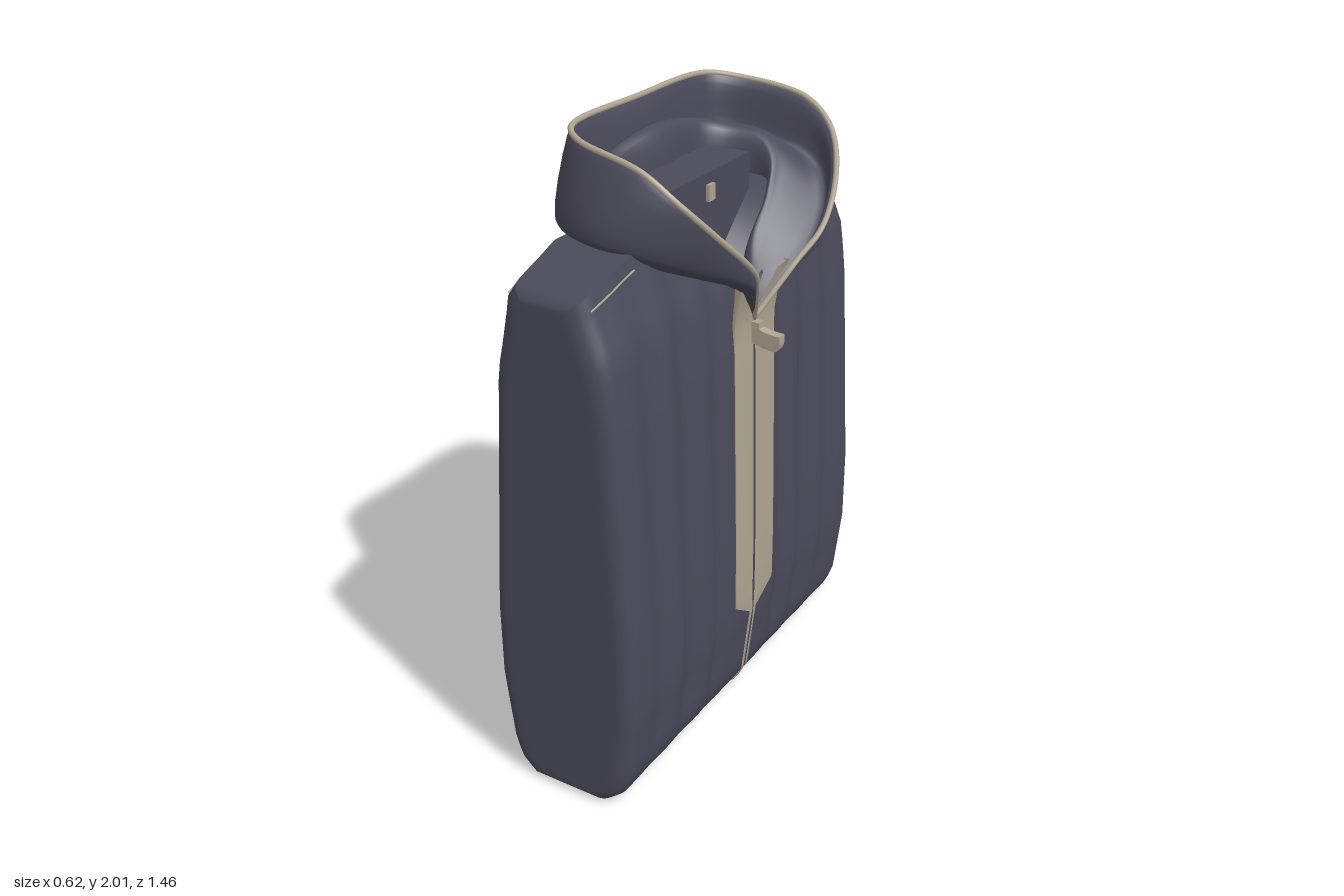
import * as THREE from 'three';

const navy = new THREE.MeshStandardMaterial({ color: 0x4b4a5a, side: THREE.DoubleSide });
navy.name = 'navyFabric';
const beige = new THREE.MeshStandardMaterial({ color: 0xaea491, side: THREE.DoubleSide });
beige.name = 'beigeTrim';

const clamp = (v) => Math.min(1, Math.max(0, v));

// linear lookup in a list of [key, value] pairs
function lookup(list, k) {
  for (let i = 1; i < list.length; i++) {
    const [k0, v0] = list[i - 1], [k1, v1] = list[i];
    if (k <= k1) return v0 + (v1 - v0) * clamp((k - k0) / (k1 - k0));
  }
  return list[list.length - 1][1];
}

// evenly spaced values from a to b
const range = (a, b, n) => Array.from({ length: n + 1 }, (_, i) => a + (b - a) * i / n);

// surface through rows of points
function surface(rows, closed = false) {
  const idx = [], n = rows[0].length;
  for (let i = 0; i < rows.length - 1; i++) {
    for (let j = 0; j < (closed ? n : n - 1); j++) {
      const a = i * n + j, b = i * n + (j + 1) % n;
      idx.push(a, b, a + n, b, b + n, a + n);
    }
  }
  const g = new THREE.BufferGeometry();
  g.setAttribute('position', new THREE.Float32BufferAttribute(rows.flat(2), 3));
  g.setIndex(idx);
  g.computeVertexNormals();
  return g;
}

// side profile of the folded garment: [height, x]
const FRONT = [[0, 0.1], [0.04, 0.15], [0.1, 0.18], [0.35, 0.21], [0.6, 0.21], [1.3, 0.196], [1.5, 0.18], [1.72, 0.11]];
const BACK = [[0, -0.18], [0.04, -0.225], [0.1, -0.25], [0.35, -0.28], [0.6, -0.28], [1.4, -0.24], [1.68, -0.195], [1.72, -0.165]];

function bodyPoint(y, z, front, inset = 0) {
  const a = Math.abs(z);
  let x = lookup(front ? FRONT : BACK, y);
  const narrow = 0.035 * (a / 0.73) ** 2 * clamp((y - 0.6) / 0.9);
  const drape = clamp((y - 0.02) / 0.2) * clamp((1.75 - y) / 0.3) * clamp((0.68 - a) / 0.2);
  if (front) {
    const fold = clamp((a - 0.14) / 0.08) * drape;
    x -= narrow + inset + 0.024 * fold * (0.5 + 0.5 * Math.sin(z * 34 + 2));
  } else {
    x += narrow * 0.6 + inset + 0.026 * drape * (0.5 + 0.5 * Math.cos(z * 42));
  }
  // shoulder slope, and a dipped neckline at the front
  let h = y - Math.max(0, a - 0.5) * 0.3 * clamp((y - 1.4) / 0.25);
  if (front) h = Math.min(h, 1.4 + a * 1.2);
  return [x, Math.max(0, h + inset * (0.6 - y * 0.7)), z];
}

function bodyGeometry() {
  const heights = range(0, Math.PI, 30).map((t) => 0.86 * (1 - Math.cos(t)));
  const down = heights.slice().reverse();
  // rounded ends: the section shrinks along a quarter circle
  const end = range(0, Math.PI / 2, 5).map((t) => [0.68 + 0.05 * Math.cos(t), 0.05 * (1 - Math.sin(t))]);
  const stations = [
    ...end.map(([z, inset]) => [-z, inset]),
    ...range(-0.67, 0.67, 110).map((z) => [z, 0]),
    ...end.reverse(),
  ];
  const rows = stations.map(([z, inset]) => [
    ...heights.map((y) => bodyPoint(y, z, true, inset)),
    ...down.map((y) => bodyPoint(y, z, false, inset)),
  ]);
  // flat end panels
  const centre = (row) => row.map((p) => [-0.04, 0.85, p[2]]);
  const shrink = (row) => row.map((p) => [p[0] * 0.9 - 0.004, p[1] * 0.97 + 0.025, p[2]]);
  const first = rows[0], last = rows[rows.length - 1];
  return surface([centre(first), shrink(first), ...rows, shrink(last), centre(last)], true);
}

// half rings of the hood, from the centre back round to the front V
const WIDEST = [[-0.305, 1.74, 0], [-0.295, 1.74, 0.26], [-0.21, 1.74, 0.44], [-0.02, 1.75, 0.545], [0.11, 1.72, 0.51], [0.22, 1.65, 0.38], [0.295, 1.57, 0.22], [0.265, 1.515, 0.13], [0.2, 1.38, 0]];
const RIM = [[-0.21, 2, 0], [-0.2, 1.995, 0.36], [-0.13, 1.98, 0.43], [0.1, 1.935, 0.47], [0.2, 1.86, 0.45], [0.27, 1.75, 0.36], [0.3, 1.62, 0.22], [0.265, 1.53, 0.12], [0.2, 1.385, 0]];
const CREST = [[-0.17, 1.92, 0], [-0.165, 1.88, 0.26], [-0.1, 1.86, 0.33], [0.02, 1.84, 0.36], [0.09, 1.79, 0.33], [0.13, 1.7, 0.25], [0.15, 1.6, 0.15], [0.17, 1.48, 0.06], [0.18, 1.38, 0]];

// ring moved inward by d and lowered towards the V; the V itself stays put
function inset(ring, d, k) {
  return ring.map(([x, y, z], i) => {
    const s = 1 - d * Math.min(1, (ring.length - 1 - i) / 2) / Math.hypot(x, z);
    return [x * s, 1.38 + (y - 1.38) * k, z * s];
  });
}

function ringCurve(half) {
  const point = (sign) => ([x, y, z]) => new THREE.Vector3(x, y, sign * z - 0.02 * clamp(z / 0.2));
  const plus = half.slice().reverse().map(point(1));
  return new THREE.CatmullRomCurve3([...plus, ...half.slice(1).map(point(-1))], false, 'centripetal');
}

function hoodGeometry() {
  // under the edge, up the outside, over the rim, into the fold and down the neck
  const curves = [
    inset(WIDEST, 0.1, 0.78), inset(WIDEST, 0.05, 0.86), WIDEST, RIM,
    inset(RIM, 0.02, 0.95), inset(RIM, 0.04, 0.72),
    CREST, inset(CREST, 0.045, 0.97), inset(CREST, 0.075, 0.62),
  ].map(ringCurve);
  return surface(range(0, 1, 128).map((t) => {
    const across = new THREE.CatmullRomCurve3(curves.map((c) => c.getPoint(t)), false, 'centripetal');
    return across.getPoints(40).map((p) => p.toArray());
  }));
}

// half of the placket, flaring away from the body under the hood
function placketGeometry(sign) {
  const width = sign > 0 ? 0.11 : 0.13;
  return surface([0.34, 0.4, ...range(0.5, 1.53, 20)].map((y) => {
    const flare = clamp((y - 1.32) / 0.21) ** 2;
    const x = lookup(FRONT, y) + 0.005 + 0.06 * flare;
    const edge = sign * (0.02 + (width - 0.02) * clamp((y - 0.34) / 0.06) + 0.02 * flare);
    const inner = sign * Math.max(0.002, (y - 1.4) * 0.6);
    return [[x, y, inner], [x, y, edge], [x - 0.01 - 0.02 * flare, y, edge]];
  }));
}

export function createModel() {
  const model = new THREE.Group();
  const add = (name, geometry, material, x = 0, y = 0, z = 0) => {
    const mesh = new THREE.Mesh(geometry, material);
    mesh.name = name;
    mesh.position.set(x, y, z);
    model.add(mesh);
  };
  const tube = (points, r) => new THREE.TubeGeometry(
    new THREE.CatmullRomCurve3(points.map((p) => new THREE.Vector3(...p))), points.length * 3, r, 6);

  add('body', bodyGeometry(), navy);
  add('hood', hoodGeometry(), navy);
  add('hoodPiping', new THREE.TubeGeometry(ringCurve(RIM), 160, 0.009, 8), beige);

  // neck panel with its small hanging tab
  add('neckPanel', new THREE.BoxGeometry(0.15, 0.36, 0.47), navy, -0.035, 1.63, -0.01);
  add('neckTab', new THREE.BoxGeometry(0.012, 0.05, 0.035), beige, 0.046, 1.75, 0);

  add('placketLeft', placketGeometry(1), beige);
  add('placketRight', placketGeometry(-1), beige);

  // narrow trim running down the front and under the hem
  const hem = range(0.38, 0, 19).map((y) => [lookup(FRONT, y) + 0.006, Math.max(0.001, y)]);
  hem.push([-0.18, 0.001]);
  add('hemTrim', surface(hem.map(([x, y]) => [[x, y, 0.02], [x, y, -0.02]])), beige);
  add('zipLine', tube(range(0.1, 1.37, 12).map((y) => [lookup(FRONT, y) + 0.005, y, 0]), 0.004), navy);

  // zip slider and pull
  add('zipSlider', new THREE.BoxGeometry(0.03, 0.07, 0.03), beige, 0.21, 1.34, 0);
  const pull = new THREE.Shape();
  pull.moveTo(0.2, 1.37);
  pull.quadraticCurveTo(0.23, 1.345, 0.295, 1.345);
  pull.quadraticCurveTo(0.3, 1.31, 0.285, 1.295);
  pull.quadraticCurveTo(0.25, 1.29, 0.2, 1.31);
  add('zipPull', new THREE.ExtrudeGeometry(pull, { depth: 0.032, bevelEnabled: false }), beige, 0, 0, -0.016);

  // stitched seams on the shoulders and centre back
  for (const s of [1, -1]) {
    for (const front of [true, false]) {
      add('shoulderSeam', tube(range(0.5, 0.69, 4).map((z) => bodyPoint(1.68, s * z, front)), 0.003), beige);
    }
  }
  add('backSeam', tube(range(0.05, 1.6, 14).map((y) => bodyPoint(y, 0, false)), 0.004), beige);

  return model;
}
